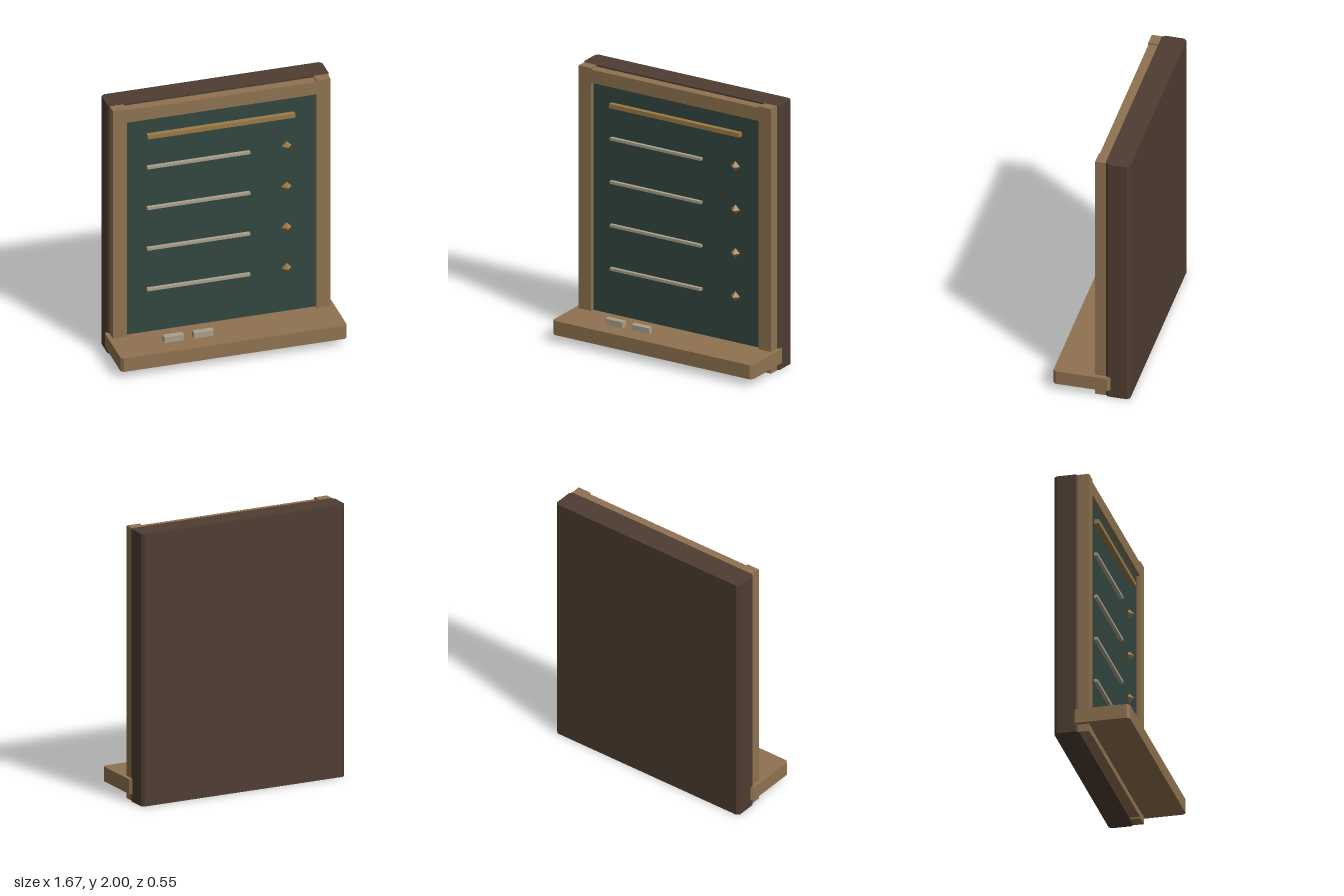
import * as THREE from 'three';

const material = (color) => new THREE.MeshStandardMaterial({ color, flatShading: true });

export function createModel() {
  const model = new THREE.Group();
  model.name = 'noticeBoard';
  const wood = material(0x8f7350);
  const darkWood = material(0x4e3d31);
  const slate = material(0x33463f);
  const chalk = material(0xaaa18c);
  const brass = material(0x9c7a45);

  const add = (name, geometry, mat) => {
    const mesh = new THREE.Mesh(geometry, mat);
    mesh.name = name;
    model.add(mesh);
    return mesh;
  };

  // Box given by its limits on each axis
  const box = (name, [x0, x1], [y0, y1], [z0, z1], mat) =>
    add(name, new THREE.BoxGeometry(x1 - x0, y1 - y0, z1 - z0), mat)
      .position.set((x0 + x1) / 2, (y0 + y1) / 2, (z0 + z1) / 2);

  // Slab with its four vertical edges chamfered
  const chamferedSlab = (name, w, [y0, y1], [z0, z1], c, mat) => {
    const shape = new THREE.Shape([
      [-w + c, -z1], [w - c, -z1], [w, -z1 + c], [w, -z0 - c],
      [w - c, -z0], [-w + c, -z0], [-w, -z0 - c], [-w, -z1 + c],
    ].map(([x, y]) => new THREE.Vector2(x, y)));
    const geometry = new THREE.ExtrudeGeometry(shape, { depth: y1 - y0, bevelEnabled: false });
    geometry.rotateX(-Math.PI / 2);
    add(name, geometry, mat).position.y = y0;
  };

  // Backing and writing surface
  chamferedSlab('backing', 0.815, [0, 2], [-0.277, -0.097], 0.02, darkWood);
  box('writingSurface', [-0.697, 0.697], [0.08, 1.885], [-0.11, -0.052], slate);

  // Frame
  for (const side of [-1, 1]) {
    const name = side > 0 ? 'leftStile' : 'rightStile';
    box(name, side > 0 ? [0.7, 0.803] : [-0.803, -0.7], [0, 2], [-0.1, -0.023], wood);
  }
  box('topRail', [-0.7, 0.7], [1.888, 1.988], [-0.1, -0.026], wood);
  box('bottomRail', [-0.7, 0.7], [0.012, 0.112], [-0.1, -0.026], wood);

  // Tray with two chalks
  chamferedSlab('tray', 0.834, [0.057, 0.164], [-0.137, 0.277], 0.02, wood);
  for (const x of [-0.474, -0.256]) {
    box('chalk', [x, x + 0.145], [0.162, 0.208], [0.101, 0.145], chalk);
  }

  // Heading strip, then rows of a line and a stud
  box('headingStrip', [-0.546, 0.541], [1.732, 1.764], [-0.06, -0.016], brass);
  for (let i = 0; i < 4; i++) {
    const y = 1.495 - i * 0.328;
    box('rowLine', [-0.546, 0.212], [y - 0.01, y + 0.01], [-0.06, -0.026], chalk);
    add('rowStud', new THREE.OctahedronGeometry(0.038), brass).position.set(0.487, y, -0.052);
  }

  return model;
}
